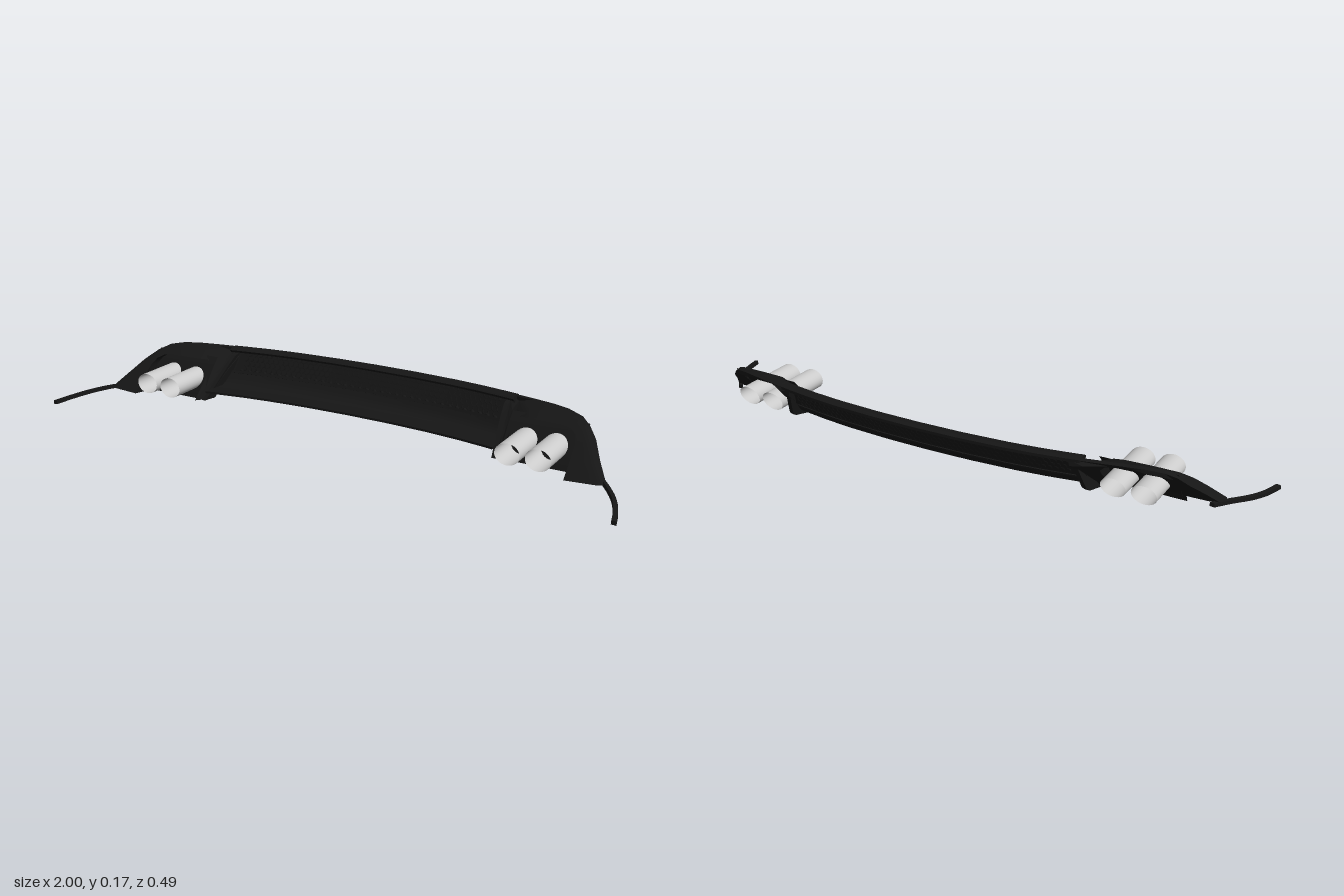
import * as THREE from 'three';
import { mergeGeometries, toCreasedNormals } from 'three/addons/utils/BufferGeometryUtils.js';

const dark = new THREE.MeshStandardMaterial({ color: 0x161616, side: THREE.DoubleSide });
const grey = new THREE.MeshStandardMaterial({ color: 0xcccccc, side: THREE.DoubleSide });

// Piecewise-linear lookup in a list of [input, output] pairs
function lookup(table, v) {
  if (v <= table[0][0]) return table[0][1];
  for (let i = 1; i < table.length; i++) {
    const [a, p] = table[i - 1], [b, q] = table[i];
    if (v <= b) return p + (q - p) * (v - a) / (b - a);
  }
  return table[table.length - 1][1];
}

// Rear edge of the bumper arc, as z over |x|
const REAR = [[0, -0.242], [0.15, -0.239], [0.3, -0.229], [0.4, -0.217], [0.5, -0.2],
  [0.65, -0.168], [0.75, -0.138], [0.83, -0.08], [0.89, 0.02]];
const rearZ = x => lookup(REAR, Math.abs(x));

// Sloping front face of the pods, as z over height, set back at the inner leg
const SLOPE = [[0.025, 0.07], [0.06, 0.035], [0.09, 0], [0.12, -0.038], [0.135, -0.056],
  [0.142, -0.07], [0.158, -0.108], [0.172, -0.155]];
const podZ = (x, y) => Math.max(rearZ(x) + 0.018, lookup(SLOPE, y)
  - 0.06 * Math.max(0, 0.7 - x) - 0.065 * THREE.MathUtils.clamp((0.6 - x) / 0.06, 0, 1));

// Sunken panel behind the opening, as z over height
const SUNKEN = [[0.022, -0.006], [0.05, -0.02], [0.112, -0.067], [0.15, -0.102]];
const sunkenZ = y => lookup(SUNKEN, y);

// Skin a row of closed cross-sections, capping both ends
function loft(sections) {
  const n = sections[0].length, index = [];
  for (let i = 0; i < sections.length - 1; i++) {
    for (let j = 0; j < n; j++) {
      const a = i * n + j, b = i * n + (j + 1) % n;
      index.push(a, b, a + n, b, b + n, a + n);
    }
  }
  for (const c of [0, (sections.length - 1) * n]) {
    for (let j = 0, k = n - 1; k - j > 1; j++, k--) {
      index.push(c + j, c + k, c + j + 1);
      if (k - j > 2) index.push(c + j + 1, c + k, c + k - 1);
    }
  }
  const g = new THREE.BufferGeometry();
  g.setAttribute('position', new THREE.Float32BufferAttribute(sections.flat(2), 3));
  g.setIndex(index);
  return toCreasedNormals(g, 0.6);
}

// Sweep a [height, offset from rear edge] outline along the arc
function arcStrip(outline, halfWidth, steps = 40) {
  const sections = [];
  for (let i = 0; i <= steps; i++) {
    const x = halfWidth * (2 * i / steps - 1);
    sections.push(outline.map(([y, dz]) => [x, y, rearZ(x) + dz]));
  }
  return loft(sections);
}

function add(parent, name, geometry, material = dark) {
  const mesh = new THREE.Mesh(geometry, material);
  mesh.name = name;
  parent.add(mesh);
  return mesh;
}

// Arch-shaped plate around the exhaust opening: outer and opening outlines in matching order
const POD_OUTER = [[0.53, 0.024], [0.522, 0.06], [0.51, 0.11], [0.5, 0.15], [0.495, 0.171],
  [0.58, 0.172], [0.66, 0.172], [0.715, 0.17], [0.762, 0.162], [0.793, 0.145],
  [0.822, 0.117], [0.855, 0.075], [0.893, 0.03]];
const POD_INNER = [[0.562, 0.024], [0.562, 0.06], [0.563, 0.1], [0.567, 0.122], [0.583, 0.138],
  [0.62, 0.141], [0.67, 0.141], [0.715, 0.141], [0.75, 0.138], [0.77, 0.127],
  [0.78, 0.108], [0.782, 0.07], [0.782, 0.026]];

function podPlate(s) {
  const mix = (i, t) => POD_OUTER[i].map((v, k) => v + (POD_INNER[i][k] - v) * t);
  const sections = POD_OUTER.map((_, i) => {
    const front = [0, 0.12, 0.5, 0.9, 1].map(t => {
      const [x, y] = mix(i, t);
      return [s * x, y, podZ(x, y) - (t === 0 ? 0.006 : 0)];
    });
    const back = [1, 0.5, 0].map(t => {
      const [x, y] = mix(i, t);
      return [s * x, y - 0.005, Math.max(podZ(x, y) - 0.045, rearZ(x) + 0.002)];
    });
    return [...front, ...back];
  });
  return loft(sections);
}

// Plate closing the pod towards the middle
function podSideWall(s) {
  const outline = [[0.005, 0.024], [-0.04, 0.022], [-0.13, 0.045], [-0.15, 0.06], [-0.168, 0.1],
    [-0.195, 0.165], [-0.14, 0.15], [-0.1, 0.12]];
  const shape = new THREE.Shape(outline.map(([z, y]) => new THREE.Vector2(-z, y)));
  const g = new THREE.ExtrudeGeometry(shape, { depth: 0.014, bevelEnabled: false });
  g.rotateY(Math.PI / 2);
  const p = g.attributes.position;
  for (let i = 0; i < p.count; i++) {
    const lean = 0.03 * (p.getY(i) - 0.024) / 0.14;
    p.setX(i, s * (0.53 + p.getX(i) - lean));
  }
  return toCreasedNormals(g, 0.3);
}

// Sunken panel that the pipes pass through
function sunkenPanel(s) {
  const g = new THREE.PlaneGeometry(0.245, 0.126, 1, 8);
  g.translate(s * 0.6725, 0.085, 0);
  const p = g.attributes.position;
  for (let i = 0; i < p.count; i++) p.setZ(i, sunkenZ(p.getY(i)));
  g.computeVertexNormals();
  return g;
}

// Sides and roof between the opening and the sunken panel
function openingLining(s) {
  const g = new THREE.PlaneGeometry(1, 1, POD_INNER.length - 1, 1);
  const p = g.attributes.position;
  for (let i = 0; i < p.count; i++) {
    const [x, y] = POD_INNER[i % POD_INNER.length];
    const atFront = (i < POD_INNER.length) === (s > 0);
    p.setXYZ(i, s * x, y, atFront ? podZ(x, y) - 0.002 : sunkenZ(y));
  }
  return toCreasedNormals(g, 0.8);
}

// Open pipe with a slanted rear end
function exhaustPipe() {
  const g = new THREE.CylinderGeometry(0.034, 0.034, 0.23, 32, 1, true);
  g.rotateX(Math.PI / 2).scale(1.18, 1, 1).translate(0, 0.079, -0.026);
  const p = g.attributes.position;
  for (let i = 0; i < p.count; i++) {
    if (p.getZ(i) < 0) p.setZ(i, -0.14 - 0.3 * (p.getY(i) - 0.079));
  }
  return g;
}

// Thin blade running forward around the corner
function cornerBlade(s) {
  const path = new THREE.CatmullRomCurve3([[0.868, 0.027, 0], [0.905, 0.026, 0.05],
    [0.945, 0.02, 0.11], [0.972, 0.014, 0.17], [0.992, 0.009, 0.244]]
    .map(p => new THREE.Vector3(...p)));
  return loft(path.getPoints(14).map(({ x, y, z }) => [
    [s * (x - 0.008), y - 0.006, z], [s * (x + 0.008), y - 0.007, z],
    [s * (x + 0.007), y + 0.005, z], [s * (x - 0.007), y + 0.007, z]]));
}

export function createModel() {
  const model = new THREE.Group();
  model.name = 'rearDiffuser';

  // Middle section
  add(model, 'topLip', arcStrip([[0.16, 0], [0.169, 0], [0.173, 0.012], [0.172, 0.036],
    [0.165, 0.046], [0.157, 0.04]], 0.53, 50));
  add(model, 'grillePanel', arcStrip([[0.164, 0.022], [0.164, 0.028], [0.094, 0.062],
    [0.094, 0.056]], 0.53));
  add(model, 'lowerPanel', arcStrip([[0.096, 0.058], [0.098, 0.066], [0.08, 0.078], [0.065, 0.09],
    [0.057, 0.11], [0.058, 0.15], [0.057, 0.196], [0.05, 0.196], [0.05, 0.15], [0.047, 0.11],
    [0.056, 0.088], [0.073, 0.073]], 0.53));
  add(model, 'grilleLedge', arcStrip([[0.086, 0.056], [0.092, 0.054], [0.102, 0.072],
    [0.094, 0.076]], 0.505));

  // Honeycomb relief and the row of teeth beneath it
  const cells = [], teeth = [];
  for (let row = 0; row < 4; row++) {
    for (let i = -25; i <= 25; i++) {
      const x = (i + (row % 2) * 0.5) * 0.019;
      const y = 0.107 + row * 0.0155;
      const cell = new THREE.TorusGeometry(0.0105, 0.0044, 4, 6);
      cell.rotateZ(Math.PI / 6).rotateX(-0.45);
      cells.push(cell.translate(x, y, rearZ(x) + 0.058 - (y - 0.096) * 0.486));
    }
  }
  for (let i = -17; i <= 17; i++) {
    const x = i * 0.028;
    const tooth = new THREE.CylinderGeometry(0.005, 0.011, 0.014, 4);
    teeth.push(tooth.translate(x, 0.097, rearZ(x) + 0.064));
  }
  add(model, 'grilleHoneycomb', mergeGeometries(cells));
  add(model, 'ledgeTeeth', mergeGeometries(teeth));

  // Both ends, with their twin pipes
  for (const s of [1, -1]) {
    const side = new THREE.Group();
    side.name = s > 0 ? 'leftEnd' : 'rightEnd';
    add(side, 'exhaustSurround', podPlate(s));
    add(side, 'surroundSideWall', podSideWall(s));
    add(side, 'sunkenPanel', sunkenPanel(s));
    add(side, 'openingLining', openingLining(s));
    add(side, 'cornerBlade', cornerBlade(s));
    for (const x of [0.614, 0.71]) add(side, 'exhaustPipe', exhaustPipe(), grey).position.x = s * x;
    model.add(side);
  }
  return model;
}
